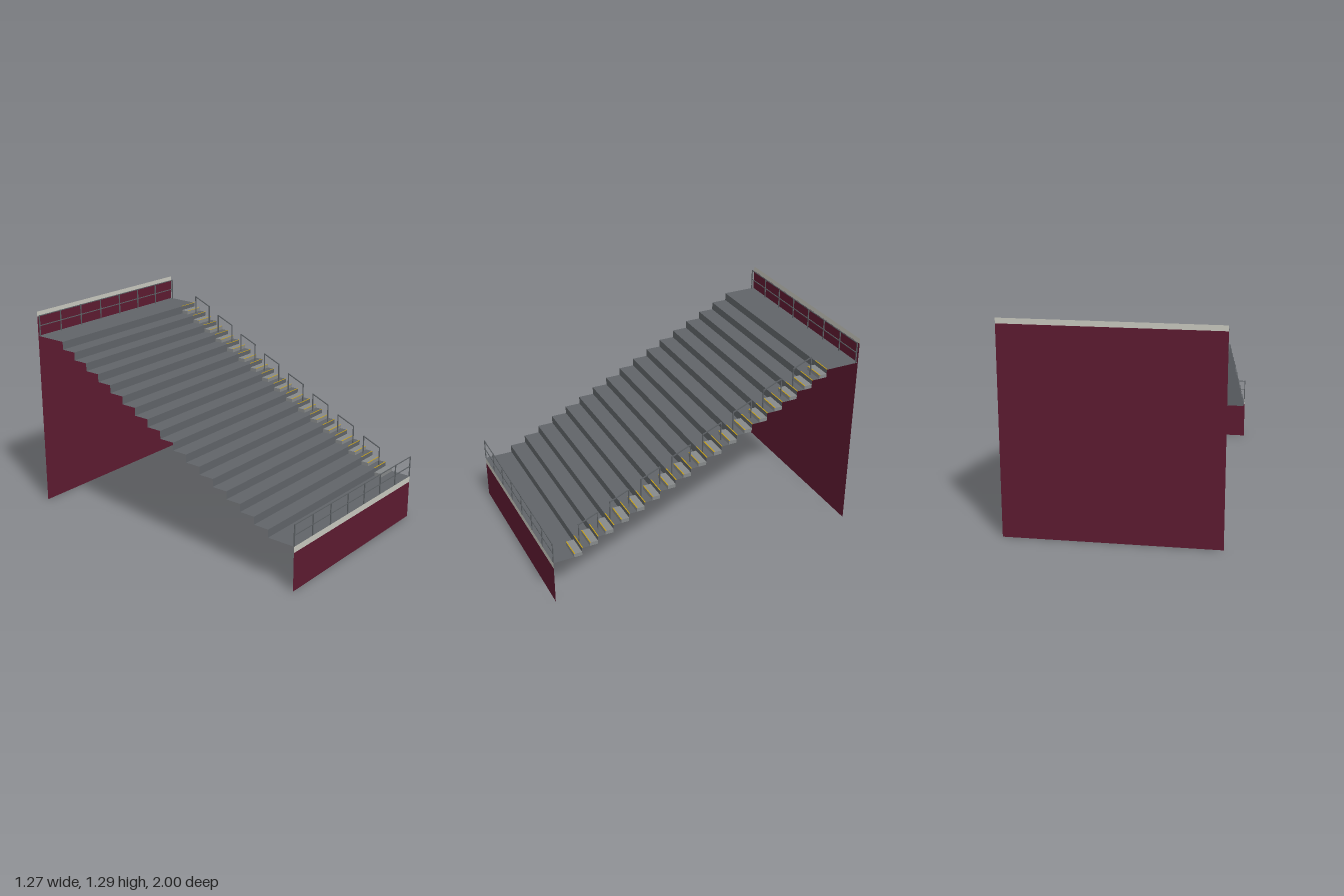
import * as THREE from 'three';

const HALF = 0.634;            // half width of the stand
const STEPS = 17, RISE = 0.05, RUN = 0.1;
const BASE_Y = 0.28, FIRST_Z = 0.82;
const TOP_Y = BASE_Y + STEPS * RISE;
const AISLE_IN = 0.5, RAIL_X = 0.565, BAR = 0.006;

const mat = (color, side = THREE.FrontSide) => new THREE.MeshStandardMaterial({ color, side });
const concrete = mat(0x606468, THREE.DoubleSide);
const maroon = mat(0x5c1a30, THREE.DoubleSide);
const trim = mat(0xc8c8be, THREE.DoubleSide);
const blockMat = mat(0x86898a);
const yellow = mat(0xc8a010);
const metal = mat(0x5c6064);

function add(parent, name, geometry, material, x = 0, y = 0, z = 0) {
  const mesh = new THREE.Mesh(geometry, material);
  mesh.name = name;
  mesh.position.set(x, y, z);
  parent.add(mesh);
  return mesh;
}

function group(parent, name) {
  const g = new THREE.Group();
  g.name = name;
  parent.add(g);
  return g;
}

// Stepped sheet: the side profile swept across the width, one flat quad per face
function terraceGeometry() {
  const profile = [[1, BASE_Y]];
  for (let k = 0; k < STEPS; k++) {
    const z = FIRST_Z - k * RUN;
    profile.push([z, BASE_Y + k * RISE], [z, BASE_Y + (k + 1) * RISE]);
  }
  profile.push([-1, TOP_Y]);
  const pos = [];
  for (let i = 0; i < profile.length - 1; i++) {
    const [z0, y0] = profile[i], [z1, y1] = profile[i + 1];
    pos.push(-HALF, y0, z0, HALF, y0, z0, HALF, y1, z1);
    pos.push(-HALF, y0, z0, HALF, y1, z1, -HALF, y1, z1);
  }
  const g = new THREE.BufferGeometry();
  g.setAttribute('position', new THREE.Float32BufferAttribute(pos, 3));
  g.computeVertexNormals();
  return g;
}

// Thin wall panel between two heights
function panel(parent, name, y0, y1, z, material) {
  const mesh = add(parent, name, new THREE.PlaneGeometry(2 * HALF, y1 - y0), material, 0, (y0 + y1) / 2, z);
  if (z < 0) mesh.rotation.y = Math.PI;
}

// Straight railing across the full width
function railing(parent, name, y, z) {
  const g = group(parent, name);
  const h = 0.135, span = 2 * HALF - BAR;
  for (let i = 0; i < 8; i++) {
    add(g, 'railingPost', new THREE.BoxGeometry(BAR, h, BAR), metal, -span / 2 + (span * i) / 7, y + h / 2, z);
  }
  for (const r of [h / 2, h - BAR / 2]) {
    add(g, 'railingBar', new THREE.BoxGeometry(2 * HALF, BAR * 0.8, BAR * 0.8), metal, 0, y + r, z);
  }
}

// Sloping handrail hoop spanning two treads of the aisle
function handrail(parent, k) {
  const g = group(parent, 'aisleHandrail');
  const h = 0.12, z0 = FIRST_Z - k * RUN - 0.01, z1 = z0 - 0.12;
  const y0 = BASE_Y + (k + 1) * RISE, y1 = y0 + RISE;
  for (const [y, z] of [[y0, z0], [y1, z1]]) {
    add(g, 'handrailPost', new THREE.BoxGeometry(BAR, h, BAR), metal, RAIL_X, y + h / 2, z);
  }
  const length = Math.hypot(z0 - z1, y1 - y0) + BAR * 0.5;
  const bar = add(g, 'handrailBar', new THREE.BoxGeometry(BAR, BAR, length), metal,
    RAIL_X, (y0 + y1) / 2 + h - BAR / 2, (z0 + z1) / 2);
  bar.rotation.x = Math.atan2(y1 - y0, z0 - z1);
}

export function createModel() {
  const model = new THREE.Group();
  model.name = 'grandstand';

  add(model, 'terrace', terraceGeometry(), concrete);

  // Front and back walls with pale top bands
  panel(model, 'frontWall', 0, 0.24, 0.998, maroon);
  panel(model, 'frontWallBand', 0.24, BASE_Y, 0.998, trim);
  panel(model, 'backWall', 0, 1.255, -1, maroon);
  panel(model, 'backWallBand', 1.255, 1.287, -1, trim);

  railing(model, 'frontRailing', BASE_Y, 0.997);
  railing(model, 'backRailing', TOP_Y, -0.985);

  // Aisle: half-height step blocks with yellow nosing strips
  const aisle = group(model, 'aisle');
  const w = HALF - AISLE_IN, x = (HALF + AISLE_IN) / 2;
  const blockH = 0.023, depth = 0.05, strip = 0.006;
  for (let k = 0; k < STEPS; k++) {
    const y = BASE_Y + k * RISE, z = FIRST_Z - k * RUN;
    add(aisle, 'stepBlock', new THREE.BoxGeometry(w, blockH, depth), blockMat, x, y + blockH / 2, z + depth / 2);
    for (const [top, edge] of [[y + blockH, z + depth], [y + RISE, z]]) {
      add(aisle, 'nosingStrip', new THREE.BoxGeometry(w, 0.001, strip), yellow, x, top + 0.0005, edge - strip / 2);
    }
  }

  for (let k = 0; k < STEPS - 1; k += 2) handrail(aisle, k);

  return model;
}
